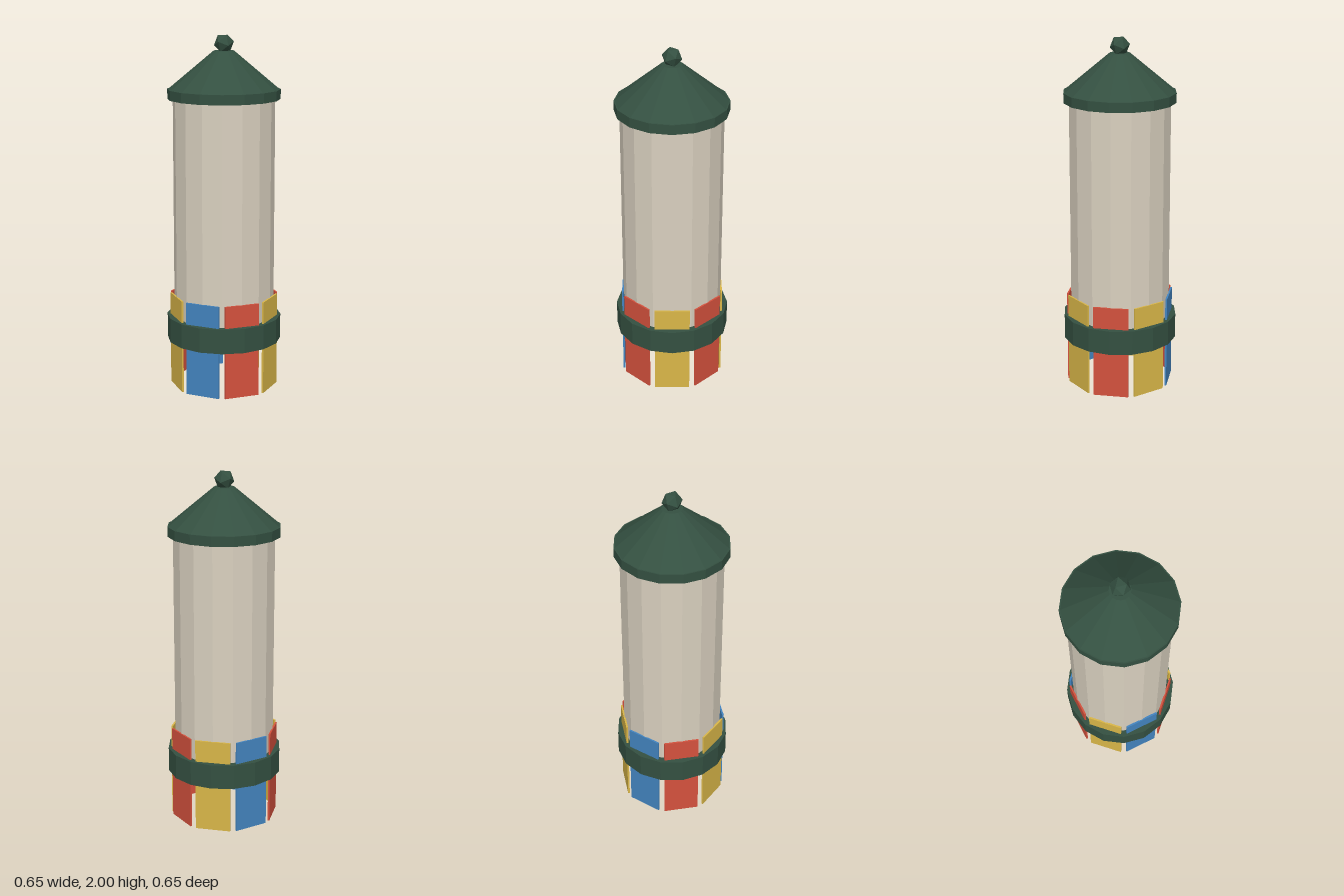
import * as THREE from 'three';

const SIDES = 16;

function material(name, color) {
  const m = new THREE.MeshStandardMaterial({ color, flatShading: true });
  m.name = name;
  return m;
}

export function createModel() {
  const group = new THREE.Group();
  group.name = 'advertisingColumn';

  const cream = material('cream', 0xd9d0bf);
  const green = material('darkGreen', 0x345041);
  const red = material('red', 0xd4513d);
  const gold = material('gold', 0xd9b648);
  const blue = material('blue', 0x4384bf);

  const add = (name, geometry, mat) => {
    const mesh = new THREE.Mesh(geometry, mat);
    mesh.name = name;
    group.add(mesh);
    return mesh;
  };

  // Faceted drum or cone between two heights
  const drum = (name, rTop, rBottom, y0, y1, mat) => {
    const mesh = add(name, new THREE.CylinderGeometry(rTop, rBottom, y1 - y0, SIDES), mat);
    mesh.position.y = (y0 + y1) / 2;
  };

  drum('columnBody', 0.285, 0.285, 0.34, 1.66, cream);
  drum('lowerBand', 0.325, 0.325, 0.27, 0.41, green);
  drum('roofEave', 0.315, 0.315, 1.65, 1.705, green);
  drum('roofCone', 0.057, 0.308, 1.705, 1.915, green);

  // Finial: icosahedron resting on one face
  const finial = new THREE.IcosahedronGeometry(0.056, 0);
  finial.applyQuaternion(new THREE.Quaternion().setFromUnitVectors(
    new THREE.Vector3(1, 1, 1).normalize(), new THREE.Vector3(0, 1, 0)));
  finial.rotateY(THREE.MathUtils.degToRad(-62));
  add('finial', finial, green).position.y = 1.955;

  // Poster panels, from the front round towards +x
  const panelGeometry = new THREE.BoxGeometry(0.2, 0.535, 0.01);
  [red, gold, red, gold, blue, red, gold, blue].forEach((mat, i) => {
    const angle = (i * Math.PI) / 4;
    const panel = add('posterPanel' + (i + 1), panelGeometry, mat);
    panel.position.set(Math.sin(angle) * 0.285, 0.2675, Math.cos(angle) * 0.285);
    panel.rotation.y = angle;
  });

  return group;
}
